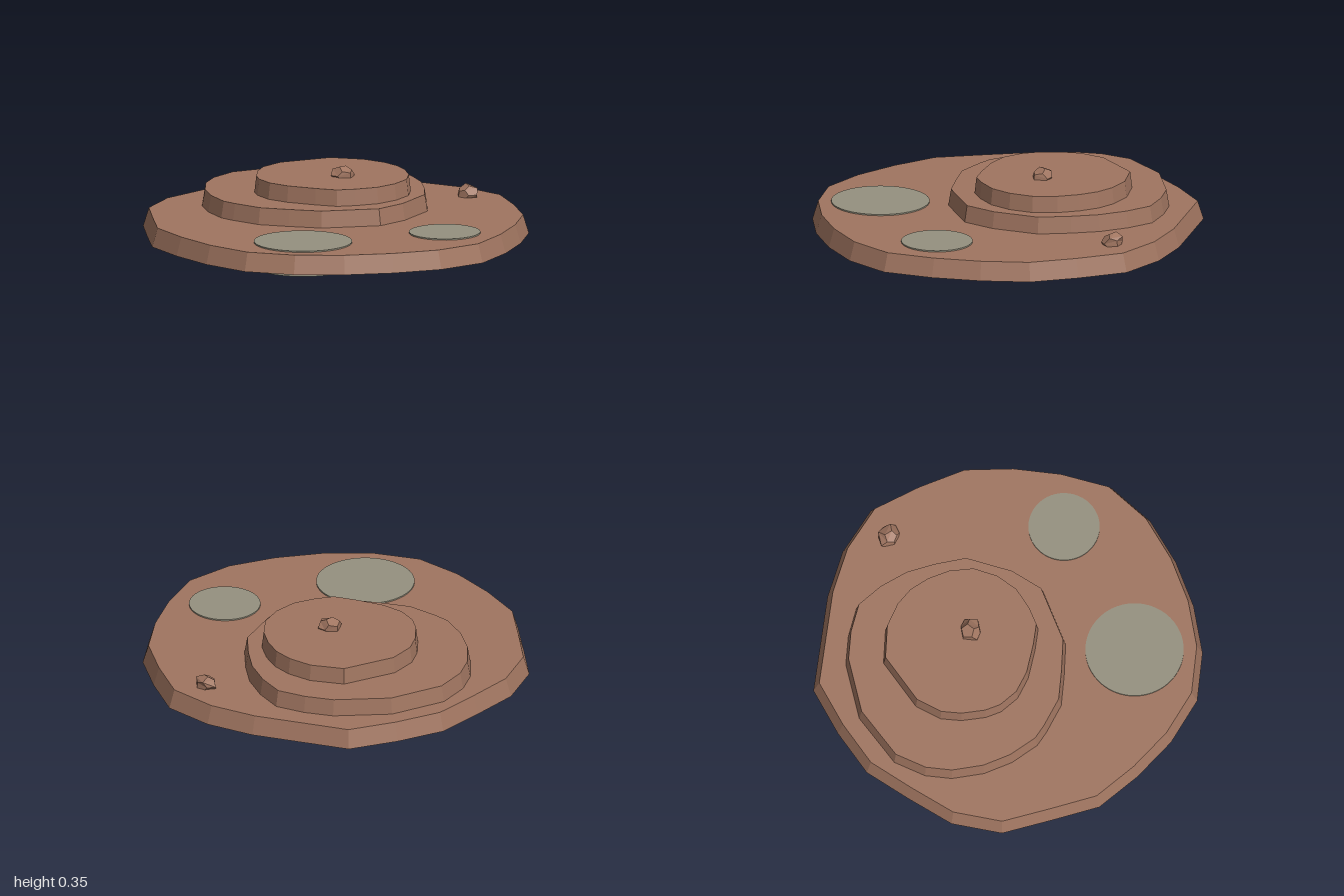
import * as THREE from 'three';

const clay = new THREE.MeshStandardMaterial({ color: 0xa07560, flatShading: true, side: THREE.DoubleSide });
const pale = new THREE.MeshStandardMaterial({ color: 0x95917f });

// Open-bottomed slab: an irregular outline, tapered towards its centre, with a flat top
function terrace(name, outline, [cx, cz], y0, y1, taper) {
  const low = outline.map(([x, z]) => [x, y0, z]);
  const high = outline.map(([x, z]) => [cx + (x - cx) * taper, y1, cz + (z - cz) * taper]);
  const centre = [cx, y1, cz];
  const positions = [];
  for (let i = 0; i < outline.length; i++) {
    const j = (i + 1) % outline.length;
    positions.push(...low[j], ...low[i], ...high[i]);
    positions.push(...low[j], ...high[i], ...high[j]);
    positions.push(...centre, ...high[j], ...high[i]);
  }
  const geometry = new THREE.BufferGeometry();
  geometry.setAttribute('position', new THREE.Float32BufferAttribute(positions, 3));
  geometry.computeVertexNormals();
  const mesh = new THREE.Mesh(geometry, clay);
  mesh.name = name;
  return mesh;
}

// Faceted stone: a dodecahedron whose corners are pushed in and out by a rule
function rock(name, x, y, z, turn) {
  const geometry = new THREE.DodecahedronGeometry(0.065);
  const p = geometry.attributes.position;
  const v = new THREE.Vector3();
  for (let i = 0; i < p.count; i++) {
    v.fromBufferAttribute(p, i);
    const k = 0.93 + 0.12 * Math.sin(v.x * 70 + v.y * 110 + v.z * 50 + turn * 3);
    p.setXYZ(i, v.x * k, v.y * k * 0.8, v.z * k);
  }
  geometry.computeVertexNormals();
  const mesh = new THREE.Mesh(geometry, clay);
  mesh.name = name;
  mesh.position.set(x, y, z);
  mesh.rotation.y = turn;
  return mesh;
}

// Round pool sunk through the base
function pool(name, x, z, radius) {
  const mesh = new THREE.Mesh(new THREE.CylinderGeometry(radius, radius, 0.135, 48), pale);
  mesh.name = name;
  mesh.position.set(x, 0.0675, z);
  return mesh;
}

export function createModel() {
  const model = new THREE.Group();
  model.name = 'terracedIsland';

  // Base outline as radii at every 15 degrees
  const radii = [
    0.995, 1.0, 0.98, 0.99, 1.03, 1.015, 0.99, 0.99, 1.01, 1.025, 0.995, 0.98,
    1.0, 0.98, 1.025, 1.015, 0.98, 1.005, 1.0, 1.035, 0.97, 0.975, 1.005, 1.035,
  ];
  const base = radii.map((r, i) => {
    const a = (i / radii.length) * Math.PI * 2;
    return [r * Math.cos(a), r * Math.sin(a)];
  });
  const middle = [
    [-0.01, -0.88], [0.285, -0.8], [0.415, -0.715], [0.53, -0.605], [0.565, -0.455],
    [0.57, -0.295], [0.54, -0.145], [0.49, 0.02], [0.31, 0.2], [0.15, 0.29],
    [-0.16, 0.255], [-0.31, 0.165], [-0.445, 0.075], [-0.54, -0.065], [-0.58, -0.14],
    [-0.6, -0.3], [-0.585, -0.455], [-0.53, -0.615], [-0.45, -0.73], [-0.31, -0.835],
  ];
  const upper = [
    [0.17, -0.64], [0.325, -0.545], [0.405, -0.44], [0.445, -0.34], [0.455, -0.23],
    [0.44, -0.11], [0.39, 0.01], [0.295, 0.1], [0.18, 0.155], [0.055, 0.165],
    [-0.045, 0.155], [-0.14, 0.085], [-0.26, -0.02], [-0.33, -0.12], [-0.355, -0.23],
    [-0.345, -0.315], [-0.3, -0.435], [-0.24, -0.525], [-0.12, -0.605],
  ];

  model.add(
    terrace('base', base, [0, 0], 0.03, 0.128, 0.97),
    terrace('middleTerrace', middle, [0, -0.3], 0.128, 0.215, 0.975),
    terrace('upperTerrace', upper, [0.05, -0.23], 0.215, 0.3, 0.975),
    pool('largePool', -0.355, 0.555, 0.255),
    pool('smallPool', 0.415, 0.555, 0.185),
    rock('summitRock', 0.09, 0.308, -0.17, 0.4),
    rock('sideRock', 0.8, 0.143, -0.27, 1.7),
  );
  return model;
}
